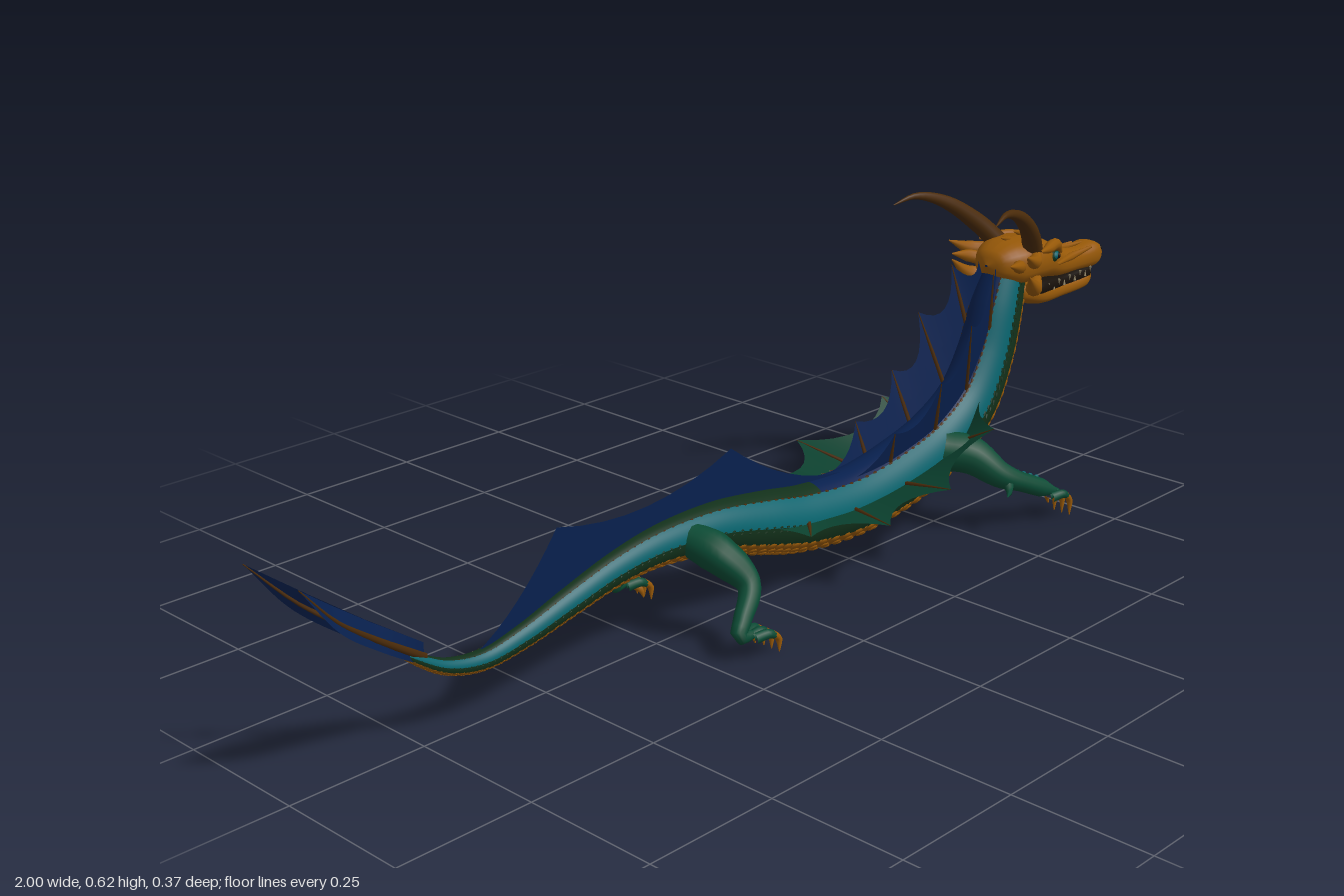
import * as THREE from 'three';
import { mergeGeometries } from 'three/addons/utils/BufferGeometryUtils.js';

const V = (x, y, z = 0) => new THREE.Vector3(x, y, z);
const paint = (name, color, double) => {
  const m = new THREE.MeshStandardMaterial({ color });
  m.name = name;
  if (double) m.side = THREE.DoubleSide;
  return m;
};

export function createModel() {
  const gold = paint('gold scale', 0x965808);
  const teal = paint('teal stripe', 0x07646e);
  const moss = paint('dark green scale', 0x12301a);
  const green = paint('green skin', 0x0a4a34);
  const navy = paint('navy membrane', 0x08204e, true);
  const wingGreen = paint('green membrane', 0x0a402e, true);
  const horn = paint('brown horn', 0x4a2b0a);
  const dark = paint('dark mouth', 0x17100a);
  const ivory = paint('ivory teeth', 0x8f8468);

  const dragon = new THREE.Group();
  dragon.name = 'dragon';
  const add = (name, geo, mat) => {
    const m = new THREE.Mesh(geo, mat);
    m.name = name;
    dragon.add(m);
    return m;
  };

  // Surface from a rule fn(u, v), u along the length, v around
  function grid(nu, nv, fn) {
    const pos = [], idx = [];
    for (let i = 0; i <= nu; i++) for (let j = 0; j <= nv; j++) {
      pos.push(...fn(i / nu, j / nv).toArray());
      const a = i * (nv + 1) + j, b = a + nv + 1;
      if (i < nu && j < nv) idx.push(a, a + 1, b, a + 1, b + 1, b);
    }
    const g = new THREE.BufferGeometry();
    g.setAttribute('position', new THREE.Float32BufferAttribute(pos, 3));
    g.setIndex(idx);
    g.computeVertexNormals();
    return g;
  }

  // Round tube whose radius follows a list
  function taper(pts, radii, sides = 10, n = 20) {
    const curve = new THREE.CatmullRomCurve3(pts);
    const g = new THREE.TubeGeometry(curve, n, 1, sides);
    const p = g.attributes.position, v = V(0, 0);
    for (let i = 0; i <= n; i++) {
      const c = curve.getPointAt(i / n), f = (i / n) * (radii.length - 1);
      const k = Math.min(Math.floor(f), radii.length - 2);
      const r = THREE.MathUtils.lerp(radii[k], radii[k + 1], f - k);
      for (let j = 0; j <= sides; j++) {
        const q = i * (sides + 1) + j;
        v.fromBufferAttribute(p, q).sub(c).multiplyScalar(r).add(c);
        p.setXYZ(q, v.x, v.y, v.z);
      }
    }
    return g;
  }

  // Thin scalloped skin between a root line and a row of tips
  function membrane(roots, tips, sag, bias = 0.5) {
    const root = new THREE.CatmullRomCurve3(roots), n = tips.length - 1;
    const edges = tips.slice(1).map((b, i) => {
      const ctrl = tips[i].clone().lerp(b, bias).lerp(roots[i].clone().lerp(roots[i + 1], bias), sag);
      return new THREE.QuadraticBezierCurve3(tips[i], ctrl, b);
    });
    return grid(n * 8, 2, (u, v) => {
      const k = Math.min(Math.floor(u * n), n - 1);
      return root.getPoint(u).lerp(edges[k].getPoint(u * n - k), v);
    });
  }

  // Body: centre line x, y with the radius carried in z, from tail to neck
  const spine = new THREE.CatmullRomCurve3([
    [-0.80, 0.185, 0.004], [-0.76, 0.155, 0.009], [-0.70, 0.12, 0.014], [-0.63, 0.106, 0.018],
    [-0.55, 0.118, 0.022], [-0.45, 0.145, 0.027], [-0.35, 0.17, 0.031], [-0.25, 0.182, 0.037],
    [-0.12, 0.175, 0.047], [0, 0.15, 0.057], [0.1, 0.128, 0.062], [0.25, 0.117, 0.065], [0.4, 0.138, 0.067],
    [0.5, 0.17, 0.066], [0.585, 0.225, 0.064], [0.64, 0.31, 0.059], [0.672, 0.4, 0.054], [0.70, 0.48, 0.044],
  ].map(a => V(...a)));
  function frame(t, angle) {
    const p = spine.getPoint(t), r = p.z, d = spine.getTangent(t).setZ(0).normalize();
    const out = V(-d.y * Math.cos(angle), d.x * Math.cos(angle), Math.sin(angle) * 0.93);
    p.setZ(0).addScaledVector(out, r);
    return { p, d, out, r };
  }
  const rad = Math.PI / 180;
  const zones = [
    ['rearSpineStripe', -34, 34, moss, 0, 0.6], ['neckSpineStripe', -34, 34, navy, 0.6, 1],
    ['leftTealStripe', 34, 88, teal], ['rightTealStripe', -88, -34, teal],
    ['leftGreenStripe', 88, 122, moss], ['rightGreenStripe', -122, -88, moss], ['belly', 122, 238, gold],
  ];
  for (const [name, a, b, mat, from = 0, to = 1] of zones)
    add(name, grid(120, 10, (u, v) => frame(from + (to - from) * u, (a + (b - a) * v) * rad).p), mat);

  // Overlapping belly scales and the small spiky scales along the stripes
  function scales(base, angles, count, size) {
    const list = [];
    for (let i = 0; i < count; i++) for (const a of angles) {
      const t = (i + ((a / 14) & 1) * 0.5 + 0.5) / count;
      const { p, d, out, r } = frame(Math.min(t, 0.99), a * rad);
      out.normalize();
      const side = new THREE.Vector3().crossVectors(d, out);
      const s = size * r;
      const m = new THREE.Matrix4().makeBasis(d.clone().multiplyScalar(s), out.multiplyScalar(s), side.multiplyScalar(s));
      list.push(base.clone().applyMatrix4(m.setPosition(p)));
    }
    return mergeGeometries(list);
  }
  const tile = new THREE.SphereGeometry(1, 7, 5).scale(1, 0.3, 0.95);
  add('bellyScales', scales(tile, [126, 140, 154, 168, 182, 196, 210, 224, 234], 85, 0.15), gold);
  const thorn = new THREE.ConeGeometry(0.6, 1.6, 5).rotateZ(1.1);
  add('sideScales', scales(thorn, [86, -86, 94, -94], 110, 0.1), moss);
  add('spineEdgeScales', scales(thorn, [34, -34], 110, 0.1), horn);
  add('bellyEdgeScales', scales(thorn, [121, -121], 110, 0.08), gold);

  // Back fin
  add('backFin', membrane(
    [V(-0.64, 0.105), V(-0.465, 0.14), V(-0.065, 0.165), V(0.22, 0.13)],
    [V(-0.64, 0.12), V(-0.465, 0.28), V(-0.065, 0.305), V(0.22, 0.182)], 0.5), navy);

  // Smooth head parts from sections of x, y, half height, half width
  function loft(sections) {
    const c = new THREE.CatmullRomCurve3(sections.map(s => V(s[0], s[1])));
    const w = new THREE.CatmullRomCurve3(sections.map(s => V(s[2], s[3])));
    return grid(32, 24, (u, v) => {
      const p = c.getPoint(u), q = w.getPoint(u), a = v * Math.PI * 2;
      const soft = x => Math.sign(x) * Math.abs(x) ** 0.8;
      return V(p.x, p.y + q.x * soft(Math.cos(a)), q.y * soft(Math.sin(a)));
    });
  }
  add('skullAndSnout', loft([
    [0.638, 0.485, 0.002, 0.003], [0.65, 0.485, 0.025, 0.035], [0.69, 0.482, 0.043, 0.06], [0.74, 0.483, 0.044, 0.066],
    [0.79, 0.474, 0.04, 0.052], [0.85, 0.453, 0.029, 0.036], [0.92, 0.445, 0.024, 0.029],
    [0.965, 0.446, 0.027, 0.032], [0.993, 0.445, 0.019, 0.022], [1.0, 0.445, 0.001, 0.001]]), gold);
  add('lowerJaw', loft([
    [0.69, 0.43, 0.002, 0.003], [0.71, 0.425, 0.024, 0.045], [0.78, 0.405, 0.023, 0.042],
    [0.86, 0.397, 0.017, 0.032], [0.94, 0.397, 0.015, 0.028], [0.965, 0.402, 0.011, 0.018], [0.975, 0.404, 0.001, 0.001]]), gold);
  add('mouthInside', loft([
    [0.74, 0.42, 0.001, 0.001], [0.76, 0.42, 0.02, 0.045], [0.86, 0.414, 0.015, 0.031], [0.955, 0.413, 0.015, 0.024], [0.968, 0.413, 0.001, 0.001]]), dark);

  // Crest spikes and snout ridge
  [0.7, 0.74, 0.78, 0.815].forEach((x, i) => {
    const y = [0.518, 0.523, 0.508, 0.488][i];
    add('crestSpike', taper([V(x + 0.02, y - 0.008), V(x, y + 0.008), V(x - 0.02, y + 0.014)], [0.009, 0.007, 0.001], 6, 8), gold);
  });
  add('snoutRidge', taper([V(0.82, 0.487), V(0.88, 0.474), V(0.95, 0.471)], [0.004, 0.007, 0.002], 8, 10), gold);

  for (const s of [1, -1]) {
    const side = s > 0 ? 'left' : 'right';
    const P = (x, y, z) => V(x, y, z * s);
    const put = (name, geo, mat) => add(side + name, geo, mat);
    const ball = (name, x, y, z, sx, sy, sz, mat) =>
      put(name, new THREE.SphereGeometry(1, 12, 8).scale(sx, sy, sz), mat).position.copy(P(x, y, z));

    // Horn, frills, brow, eye, nostril
    put('Horn', taper([P(0.73, 0.505, 0.04), P(0.69, 0.548, 0.062), P(0.62, 0.598, 0.088), P(0.55, 0.619, 0.107), P(0.502, 0.608, 0.12)],
      [0.02, 0.018, 0.014, 0.008, 0.001], 12, 24), horn);
    put('UpperFrill', taper([P(0.73, 0.5, 0.05), P(0.69, 0.497, 0.075), P(0.64, 0.518, 0.094)], [0.01, 0.014, 0.001]), gold);
    put('LowerFrill', taper([P(0.73, 0.45, 0.05), P(0.69, 0.445, 0.076), P(0.65, 0.478, 0.093)], [0.012, 0.016, 0.001]), gold);
    put('RearFrill', taper([P(0.69, 0.48, 0.04), P(0.66, 0.49, 0.06), P(0.62, 0.5, 0.07)], [0.014, 0.012, 0.001]), gold);
    put('Brow', taper([P(0.83, 0.482, 0.036), P(0.79, 0.507, 0.05), P(0.74, 0.51, 0.067), P(0.71, 0.512, 0.075)], [0.003, 0.012, 0.011, 0.002]), gold);
    ball('EyeSocket', 0.782, 0.484, 0.047, 0.026, 0.013, 0.011, moss);
    ball('Eye', 0.788, 0.486, 0.052, 0.013, 0.008, 0.008, teal);
    ball('Pupil', 0.791, 0.486, 0.058, 0.005, 0.006, 0.004, dark);
    ball('Nostril', 0.975, 0.456, 0.02, 0.011, 0.008, 0.008, gold);
    ball('NostrilHole', 0.985, 0.457, 0.022, 0.005, 0.004, 0.004, dark);
    put('SnoutSideRidge', taper([P(0.8, 0.465, 0.05), P(0.87, 0.462, 0.03), P(0.95, 0.466, 0.024)], [0.003, 0.008, 0.003], 8, 12), gold);

    // Teeth along both jaws
    for (let i = 0; i < 9; i++) {
      const x = 0.79 + i * 0.02, z = 0.039 - i * 0.0017, up = i % 2;
      const tooth = put('Tooth', new THREE.ConeGeometry(0.003, 0.012, 6), ivory);
      tooth.position.copy(P(x, up ? 0.416 : 0.42, z));
      if (!up) tooth.rotation.x = Math.PI;
    }

    // Neck fin, leaning outwards, with a brown spine at each tip
    const neckRoot = [P(0.2, 0.15, 0.02), P(0.33, 0.15, 0.022), P(0.46, 0.185, 0.024), P(0.555, 0.25, 0.024), P(0.62, 0.35, 0.024), P(0.655, 0.44, 0.015)];
    const neckTip = [P(0.2, 0.17, 0.025), P(0.318, 0.242, 0.048), P(0.435, 0.312, 0.06), P(0.515, 0.407, 0.064), P(0.595, 0.487, 0.05), P(0.64, 0.49, 0.02)];
    put('NeckFin', membrane(neckRoot, neckTip, 0.68, 0.68), navy);
    for (let i = 1; i < 5; i++)
      put('NeckFinSpine', taper([neckRoot[i], neckRoot[i].clone().lerp(neckTip[i], 0.5), neckTip[i]], [0.005, 0.004, 0.0008], 6, 6), horn);

    // Side fin with ribs
    const root = [P(0.57, 0.25, 0.05), P(0.5, 0.18, 0.058), P(0.34, 0.14, 0.057), P(0.2, 0.13, 0.054), P(0.08, 0.14, 0.05), P(-0.03, 0.155, 0.046)];
    const tip = [P(0.57, 0.25, 0.05), P(0.5, 0.225, 0.137), P(0.31, 0.172, 0.187), P(0.165, 0.14, 0.168), P(0.04, 0.135, 0.092), P(-0.03, 0.155, 0.046)];
    put('SideFin', membrane(root, tip, 0.85), wingGreen);
    for (let i = 1; i < 5; i++)
      put('SideFinRib', taper([root[i], root[i].clone().lerp(tip[i], 0.5), tip[i]], [0.005, 0.003, 0.0008], 6, 6), horn);

    // Forked tail blade with a brown rib
    const low = [P(-0.74, 0.135, 0), P(-0.84, 0.203, 0.026), P(-0.93, 0.275, 0.056), P(-1, 0.367, 0.067)];
    const high = [P(-0.74, 0.175, 0), P(-0.84, 0.245, 0.006), P(-0.92, 0.305, 0.028), P(-1, 0.367, 0.067)];
    put('TailBlade', membrane(low, high, 0), navy);
    put('TailRib', taper(low.map((p, i) => p.clone().lerp(high[i], 0.4)), [0.007, 0.005, 0.001], 6, 12), horn);

    // Legs
    put('FrontLeg', taper([P(0.475, 0.165, 0.035), P(0.51, 0.155, 0.075), P(0.55, 0.115, 0.117), P(0.61, 0.085, 0.14), P(0.675, 0.056, 0.155), P(0.695, 0.048, 0.155)],
      [0.04, 0.037, 0.027, 0.019, 0.018, 0.002], 14, 30), green);
    put('RearLeg', taper([P(-0.185, 0.18, 0.02), P(-0.175, 0.165, 0.075), P(-0.15, 0.115, 0.122), P(-0.19, 0.07, 0.145), P(-0.205, 0.05, 0.152), P(-0.155, 0.04, 0.155)],
      [0.03, 0.035, 0.03, 0.02, 0.017, 0.014, 0.002], 14, 30), green);
    for (let i = 0; i < 6; i++)
      ball('ForelegScale', 0.573 + i * 0.014, 0.118 - i * 0.006, 0.11 + i * 0.005, 0.006, 0.005, 0.005, teal);
    put('ElbowSpur', taper([P(0.56, 0.11, 0.125), P(0.545, 0.09, 0.145), P(0.525, 0.085, 0.155)], [0.014, 0.008, 0.001], 6, 6), green);

    // Three clawed toes and a thumb on each foot
    for (const [x, y, name] of [[0.68, 0.05, 'Front'], [-0.155, 0.04, 'Rear']]) {
      const drop = y * 0.97;
      for (const dz of [-1, 0, 1]) {
        const z = 0.155 + dz * 0.018;
        put(name + 'Toe', taper([P(x - 0.025, y, 0.155 + dz * 0.01), P(x, y + 0.003, z), P(x + 0.016, y - 0.006, z)], [0.01, 0.009, 0.006], 8, 8), green);
        put(name + 'Claw', taper([P(x + 0.008, y, z), P(x + 0.024, y - drop * 0.35, z), P(x + 0.026, y - drop, z)], [0.007, 0.006, 0.001], 8, 8), gold);
      }
      put(name + 'Thumb', taper([P(x - 0.01, y, 0.148), P(x, y - 0.012, 0.137), P(x + 0.006, y - 0.028, 0.136)], [0.009, 0.006, 0.001], 8, 8), gold);
    }
  }
  return dragon;
}
